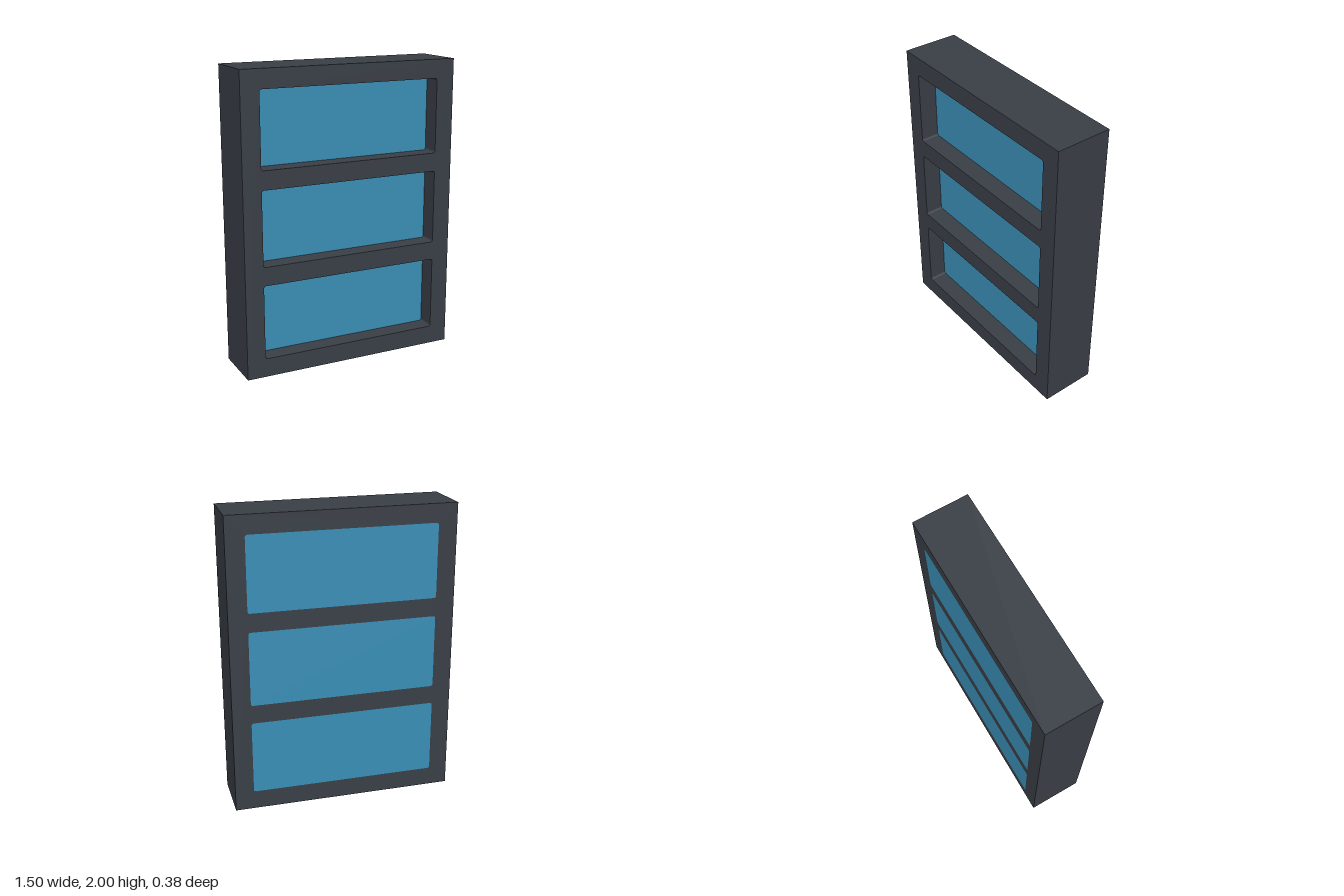
import * as THREE from 'three';

const W = 1.5, H = 2, D = 0.375;             // outer frame
const PANE_W = 1.25, PANE_H = 0.5, R = 0.016; // openings
const RECESS = 0.125;                         // glass set back from the front
const ROWS = [0.375, 1, 1.625];               // opening centre heights

// Traces a rectangle with slightly rounded corners, centred at height cy
function roundedRect(path, cy) {
  const x = PANE_W / 2, y0 = cy - PANE_H / 2, y1 = cy + PANE_H / 2;
  path.moveTo(-x + R, y0);
  path.lineTo(x - R, y0);
  path.absarc(x - R, y0 + R, R, -Math.PI / 2, 0);
  path.lineTo(x, y1 - R);
  path.absarc(x - R, y1 - R, R, 0, Math.PI / 2);
  path.lineTo(-x + R, y1);
  path.absarc(-x + R, y1 - R, R, Math.PI / 2, Math.PI);
  path.lineTo(-x, y0 + R);
  path.absarc(-x + R, y0 + R, R, Math.PI, Math.PI * 1.5);
  return path;
}

// Extrudes a shape forward from the back plane
function extrudeFromBack(shape, depth) {
  const geometry = new THREE.ExtrudeGeometry(shape, { depth, bevelEnabled: false, curveSegments: 4 });
  return geometry.translate(0, 0, -D / 2);
}

export function createModel() {
  const group = new THREE.Group();
  group.name = 'windowPanel';
  const frameMat = new THREE.MeshStandardMaterial({ name: 'dark grey frame', color: 0x3a3f47 });
  const glassMat = new THREE.MeshStandardMaterial({ name: 'blue glass', color: 0x3a8fb7 });

  // Frame with three openings
  const outline = new THREE.Shape();
  outline.moveTo(-W / 2, 0);
  outline.lineTo(W / 2, 0);
  outline.lineTo(W / 2, H);
  outline.lineTo(-W / 2, H);
  outline.closePath();
  outline.holes = ROWS.map((cy) => roundedRect(new THREE.Path(), cy));
  const frame = new THREE.Mesh(extrudeFromBack(outline, D), frameMat);
  frame.name = 'frame';
  group.add(frame);

  // Glass blocks, flush at the back and recessed at the front
  ROWS.forEach((cy, i) => {
    const pane = roundedRect(new THREE.Shape(), cy);
    const glass = new THREE.Mesh(extrudeFromBack(pane, D - RECESS), glassMat);
    glass.name = ['lowerPane', 'middlePane', 'upperPane'][i];
    group.add(glass);
  });
  return group;
}
